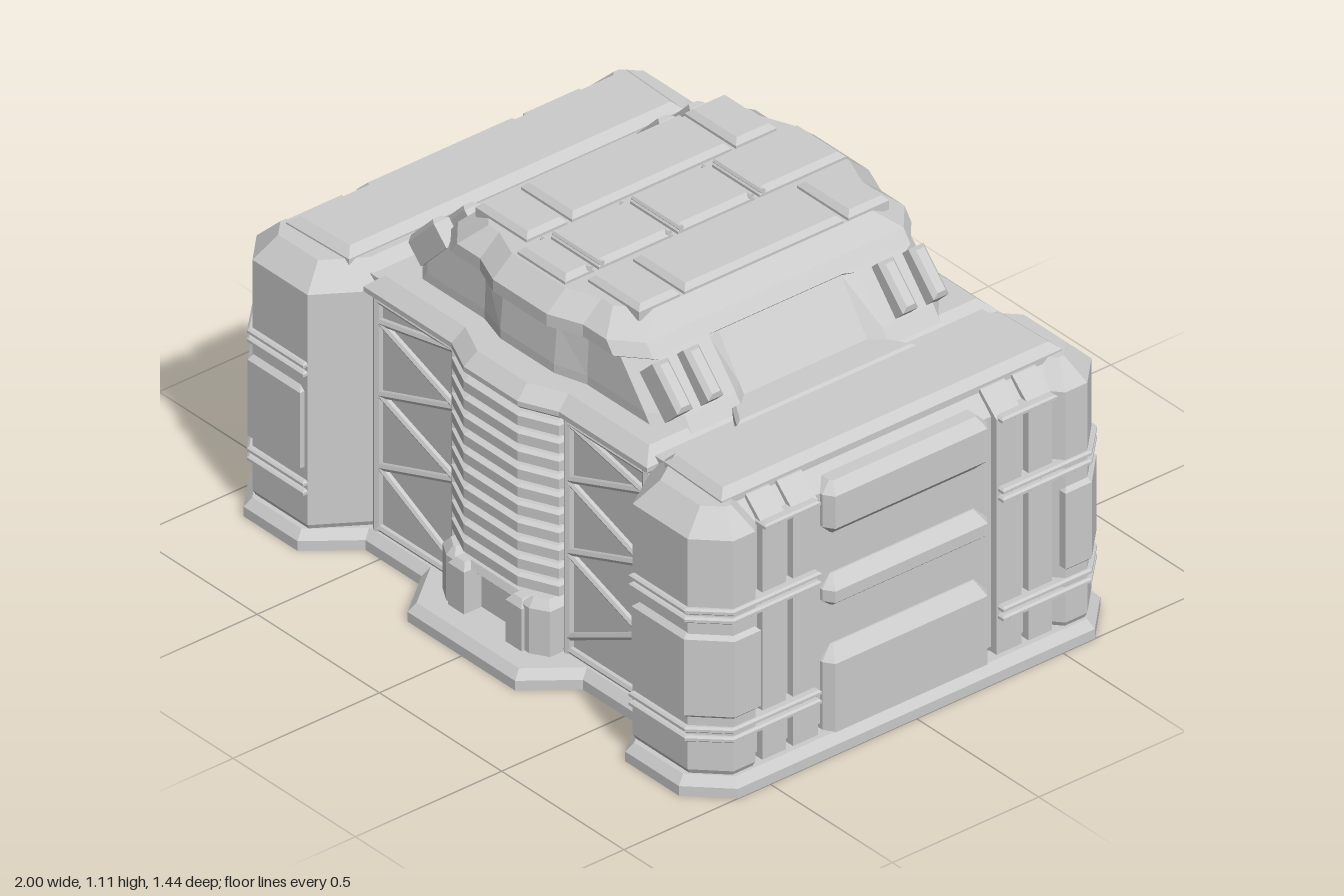
import * as THREE from 'three';

const mat = new THREE.MeshStandardMaterial({ color: 0xcccccc, flatShading: true });

function add(parent, geo, name) {
  const m = new THREE.Mesh(geo, mat);
  m.name = name;
  parent.add(m);
  return m;
}

// Stack of plan rings [y, [[x, z], ...]] joined by side faces and capped
function loftRings(rings) {
  const flip = THREE.ShapeUtils.area(rings[0][1].map(p => ({ x: p[0], y: p[1] }))) < 0;
  const R = rings.map(([y, pts]) => {
    const q = flip ? [...pts].reverse() : pts;
    return q.map(p => new THREE.Vector3(p[0], y, p[1]));
  });
  const pos = [], n = R[0].length;
  const tri = (...v) => v.forEach(p => pos.push(p.x, p.y, p.z));
  for (let k = 0; k + 1 < R.length; k++) {
    for (let i = 0; i < n; i++) {
      const j = (i + 1) % n, a = R[k], b = R[k + 1];
      tri(a[i], b[i], b[j]);
      tri(a[i], b[j], a[j]);
    }
  }
  [R[0], R[R.length - 1]].forEach((r, top) => {
    const flat = r.map(p => new THREE.Vector2(p.x, p.z));
    for (const [a, b, c] of THREE.ShapeUtils.triangulateShape(flat, [])) {
      if (top) tri(r[a], r[c], r[b]); else tri(r[a], r[b], r[c]);
    }
  });
  const g = new THREE.BufferGeometry();
  g.setAttribute('position', new THREE.Float32BufferAttribute(pos, 3));
  g.computeVertexNormals();
  return g;
}

// Mitred inward offset of an outline
function inset(pts, d) {
  const s = THREE.ShapeUtils.area(pts.map(p => ({ x: p[0], y: p[1] }))) < 0 ? -1 : 1;
  const n = pts.length;
  const normal = (a, b) => {
    const l = Math.hypot(b[0] - a[0], b[1] - a[1]);
    return [-s * (b[1] - a[1]) / l, s * (b[0] - a[0]) / l];
  };
  return pts.map((p, i) => {
    const u = normal(pts[(i + n - 1) % n], p), v = normal(p, pts[(i + 1) % n]);
    const k = d / (1 + u[0] * v[0] + u[1] * v[1]);
    return [p[0] + (u[0] + v[0]) * k, p[1] + (u[1] + v[1]) * k];
  });
}

const loft = (pts, levels) => loftRings(levels.map(([y, d]) => [y, inset(pts, d)]));
const rect = (x0, x1, z0, z1) => [[x0, z0], [x1, z0], [x1, z1], [x0, z1]];
const mirror = (pts, sx, sz) => pts.map(([x, z]) => [x * sx, z * sz]);
const symX = h => [...h, ...mirror(h, -1, 1).reverse()];
const sym4 = q => [...symX(q), ...mirror(symX(q), -1, -1)];

// Round bar between two points
function bar(parent, a, b, r, name) {
  const A = new THREE.Vector3(...a), d = new THREE.Vector3(...b).sub(A);
  const m = add(parent, new THREE.CylinderGeometry(r, r, d.length(), 6), name);
  m.position.copy(A).addScaledVector(d, 0.5);
  m.quaternion.setFromUnitVectors(new THREE.Vector3(0, 1, 0), d.normalize());
}

function buildWing(sx) {
  const g = new THREE.Group();
  g.name = sx > 0 ? 'leftWing' : 'rightWing';
  const half = [[0.56, 0.53], [0.665, 0.69], [0.89, 0.69], [0.975, 0.605], [0.975, 0.53], [0.94, 0.5]];
  const back = mirror(half, 1, -1).reverse();
  back[back.length - 1][1] = -0.59;
  add(g, loft(mirror([...half, ...back], sx, 1), [[0.04, 0.015], [0.07, 0], [0.785, 0], [0.85, 0.065]]), 'wingBody');
  // Raised roof strip
  const strip = [[0.645, -0.58], [0.89, -0.59], [0.89, 0.575], [0.645, 0.565]];
  add(g, loft(mirror(strip, sx, 1), [[0.83, 0], [0.855, 0], [0.877, 0.025]]), 'wingRoofPanel');
  // Three bulging side panels with sloped ledges
  const bulge = [[0.86, -0.28], [0.95, -0.28], [0.98, -0.26], [0.98, 0.26], [0.95, 0.28], [0.86, 0.28]];
  const bulges = [
    [[0.05, 0], [0.265, 0], [0.305, 0.035]],
    [[0.425, 0.035], [0.455, 0], [0.49, 0], [0.525, 0.035]],
    [[0.65, 0.035], [0.685, 0], [0.785, 0], [0.815, 0.03]],
  ];
  for (const levels of bulges) add(g, loft(mirror(bulge, sx, 1), levels), 'sidePanel');
  for (const sz of [1, -1]) {
    // Side pilasters, sloped only on the outer face
    for (const [z0, z1] of [[0.305, 0.39], [0.415, 0.495]]) {
      const at = x => mirror(rect(0.8, x, z0, z1), sx, sz);
      add(g, loftRings([[0.05, at(0.962)], [0.785, at(0.962)], [0.846, at(0.895)]]), 'sidePilaster');
    }
    // Bands round the corner towers
    const band = [[0.665, 0.5], [0.665, 0.705], [0.895, 0.705], [0.985, 0.612], [0.985, 0.31], [0.88, 0.31]];
    const bandLevels = y => [[y, 0.006], [y + 0.005, 0], [y + 0.013, 0], [y + 0.018, 0.006]];
    for (const y of [0.162, 0.19, 0.53, 0.557]) add(g, loft(mirror(band, sx, sz), bandLevels(y)), 'towerBand');
    add(g, loft(mirror(rect(0.88, 0.98, 0.31, 0.5), sx, sz), bandLevels(0.775)), 'upperBand');
    // Raised corner panel
    const panel = [[0.678, 0.58], [0.678, 0.705], [0.892, 0.705], [0.987, 0.61], [0.987, 0.52], [0.86, 0.52]];
    add(g, loft(mirror(panel, sx, sz), [[0.228, 0.018], [0.245, 0], [0.48, 0], [0.497, 0.018]]), 'towerPanel');
  }
  return g;
}

// Braces, louvres and doorway on one long face
function buildFace(s) {
  const g = new THREE.Group();
  g.name = s > 0 ? 'frontFace' : 'backFace';
  const z = s * 0.575;
  for (const sx of [1, -1]) {
    const zig = [[0.225, 0.77], [0.54, 0.705], [0.225, 0.59], [0.54, 0.48], [0.225, 0.365], [0.54, 0.255], [0.225, 0.1]];
    for (let i = 0; i + 1 < zig.length; i++) {
      bar(g, [sx * zig[i][0], zig[i][1], z], [sx * zig[i + 1][0], zig[i + 1][1], z], 0.011, 'zigzagBrace');
    }
    for (const x of [0.23, 0.55]) bar(g, [sx * x, 0.05, z], [sx * x, 0.79, z], 0.014, 'bracePost');
    for (const y of [0.065, 0.77]) bar(g, [sx * 0.22, y, z], [sx * 0.55, y, z], 0.011, 'braceRail');
    // Door columns
    const column = [[0.135, 0.5], [0.135, 0.66], [0.17, 0.66], [0.22, 0.63], [0.22, 0.5]];
    add(g, loft(mirror(column, sx, s), [[0.05, 0], [0.195, 0], [0.22, 0.02]]), 'doorColumn');
    add(g, loft(mirror(rect(0.085, 0.15, 0.5, 0.67), sx, s), [[0.05, 0], [0.185, 0], [0.205, 0.015]]), 'doorJamb');
  }
  // Lintel
  add(g, loft(mirror(rect(-0.11, 0.11, 0.5, 0.645), 1, s), [[0.165, 0.02], [0.185, 0], [0.205, 0.01]]), 'doorLintel');
  const slat = symX([[0.22, 0.5], [0.22, 0.6], [0.11, 0.65]]);
  for (let i = 0; i < 10; i++) {
    const y = 0.225 + i * 0.0555;
    add(g, loft(mirror(slat, 1, s), [[y, 0.015], [y + 0.006, 0], [y + 0.036, 0], [y + 0.042, 0.015]]), 'louvreSlat');
  }
  if (s < 0) add(g, loft(rect(-0.1, 0.1, -0.675, -0.5), [[0.05, 0], [0.185, 0], [0.205, 0.02]]), 'rearHatch');
  return g;
}

function buildDome() {
  const g = new THREE.Group();
  g.name = 'dome';
  const ring = (w, z, d, bow) => sym4([[w - d, 0.21], [w, 0.25], [w, z - 0.07], [w - 0.08, z], [0.21, z], [0.11, z + bow]]);
  add(g, loftRings([[0.8, ring(0.575, 0.495, 0.035, 0.03)], [0.87, ring(0.525, 0.495, 0.035, 0.03)], [0.99, ring(0.42, 0.49, 0.015, 0.025)],
    [0.998, ring(0.413, 0.51, 0, 0.04)], [1.035, ring(0.385, 0.51, 0, 0.04)], [1.09, ring(0.335, 0.445, 0, 0.04)]]), 'domeShell');
  // Roof pads in three columns
  const columns = [[-0.335, -0.125], [-0.098, 0.098], [0.125, 0.335]];
  columns.forEach(([x0, x1], c) => {
    const cuts = c === 1 ? [-0.49, -0.18, 0.1, 0.37, 0.485] : [-0.44, -0.285, 0.275, 0.43];
    for (let i = 0; i + 1 < cuts.length; i++) {
      add(g, loft(rect(x0, x1, cuts[i] + 0.008, cuts[i + 1] - 0.008), [[1.07, 0], [1.098, 0], [1.113, 0.015]]), 'roofPad');
    }
    if (c === 1) {
      for (const z of cuts.slice(1, 4)) {
        for (const dz of [-0.02, 0.02]) bar(g, [x0, 1.105, z + dz], [x1, 1.105, z + dz], 0.009, 'roofRib');
      }
    }
  });
  // Paired buttresses on the slopes
  for (const sx of [1, -1]) {
    for (const z of [0.445, 0.34, -0.325, -0.43]) {
      const m = add(g, loft(rect(-0.075, 0.075, -0.026, 0.026), [[-0.05, 0], [0.022, 0], [0.036, 0.012]]), 'slopeButtress');
      m.position.set(sx * 0.483, 0.942, z);
      m.rotation.z = -sx * 0.8;
    }
    add(g, loft(mirror([[0.545, -0.24], [0.625, -0.29], [0.625, 0.33], [0.545, 0.28]], sx, 1),
      [[0.8, 0], [0.845, 0], [0.855, 0.01]]), 'gutterPanel');
  }
  return g;
}

export function createModel() {
  const model = new THREE.Group();
  model.name = 'building';
  // Plinth with notched front
  const plinth = symX([[0.89, -0.72], [1, -0.61], [1, 0.61], [0.89, 0.72], [0.67, 0.72], [0.56, 0.58], [0.33, 0.58], [0.22, 0.72]]);
  add(model, loft(plinth, [[0, 0], [0.03, 0], [0.055, 0.022]]), 'plinth');
  // Central block, slightly towards the back
  const core = new THREE.Group();
  core.name = 'centralBlock';
  core.position.z = -0.03;
  add(core, loft(sym4([[0.62, 0.56], [0.22, 0.56], [0.11, 0.61]]), [[0.04, 0], [0.82, 0]]), 'coreWalls');
  add(core, loft(sym4([[0.58, 0.6], [0.22, 0.6], [0.11, 0.65]]), [[0.78, 0.01], [0.79, 0], [0.805, 0], [0.842, 0.04]]), 'parapet');
  core.add(buildFace(1), buildFace(-1), buildDome());
  model.add(core, buildWing(1), buildWing(-1));
  return model;
}
